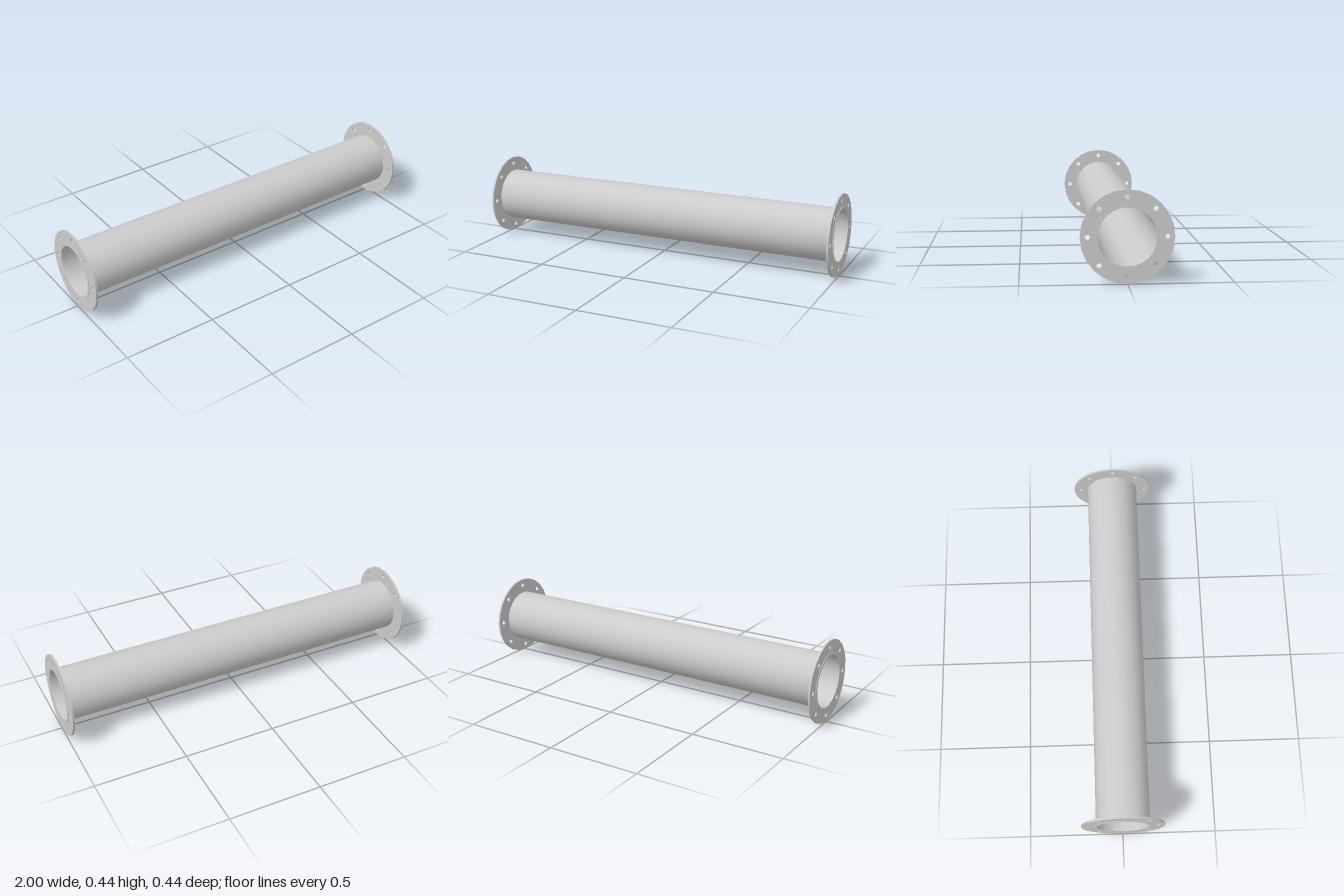
import * as THREE from 'three';
import { toCreasedNormals } from 'three/addons/utils/BufferGeometryUtils.js';

const BORE = 0.138, PIPE_R = 0.142, FACE_R = 0.152, FLANGE_R = 0.22;
const BOLT_CIRCLE = 0.185, BOLT_R = 0.012, BOLTS = 8;
const FLANGE_IN = 0.986, FLANGE_OUT = 0.997, END = 1;

const material = new THREE.MeshStandardMaterial({ color: 0xcccccc });

function circle(Type, x, y, r) {
  const path = new Type();
  path.absarc(x, y, r, 0, Math.PI * 2, false);
  return path;
}

// 24-sided ring with the common bore, running along x from x0 to x1
function ring(name, radius, x0, x1, boltHoles = false) {
  const shape = circle(THREE.Shape, 0, 0, radius);
  shape.holes.push(circle(THREE.Path, 0, 0, BORE));
  if (boltHoles) {
    for (let i = 0; i < BOLTS; i++) {
      const a = (i / BOLTS) * Math.PI * 2;
      shape.holes.push(circle(THREE.Path, Math.cos(a) * BOLT_CIRCLE, Math.sin(a) * BOLT_CIRCLE, BOLT_R));
    }
  }
  const geometry = new THREE.ExtrudeGeometry(shape, { depth: x1 - x0, bevelEnabled: false, curveSegments: 12 });
  geometry.rotateY(Math.PI / 2).translate(x0, 0, 0);
  const mesh = new THREE.Mesh(toCreasedNormals(geometry, 0.6), material);
  mesh.name = name;
  return mesh;
}

export function createModel() {
  const model = new THREE.Group();
  model.name = 'flangedPipe';

  // Straight pipe between the flanges
  model.add(ring('pipe', PIPE_R, -FLANGE_IN, FLANGE_IN));

  // Bolted flange with a raised sealing face at each end
  for (const [name, turn] of [['leftFlange', 0], ['rightFlange', Math.PI]]) {
    const end = new THREE.Group();
    end.name = name;
    end.add(
      ring('flangePlate', FLANGE_R, FLANGE_IN, FLANGE_OUT, true),
      ring('raisedFace', FACE_R, FLANGE_OUT, END)
    );
    end.rotation.y = turn;
    model.add(end);
  }

  model.position.y = FLANGE_R;
  return model;
}
